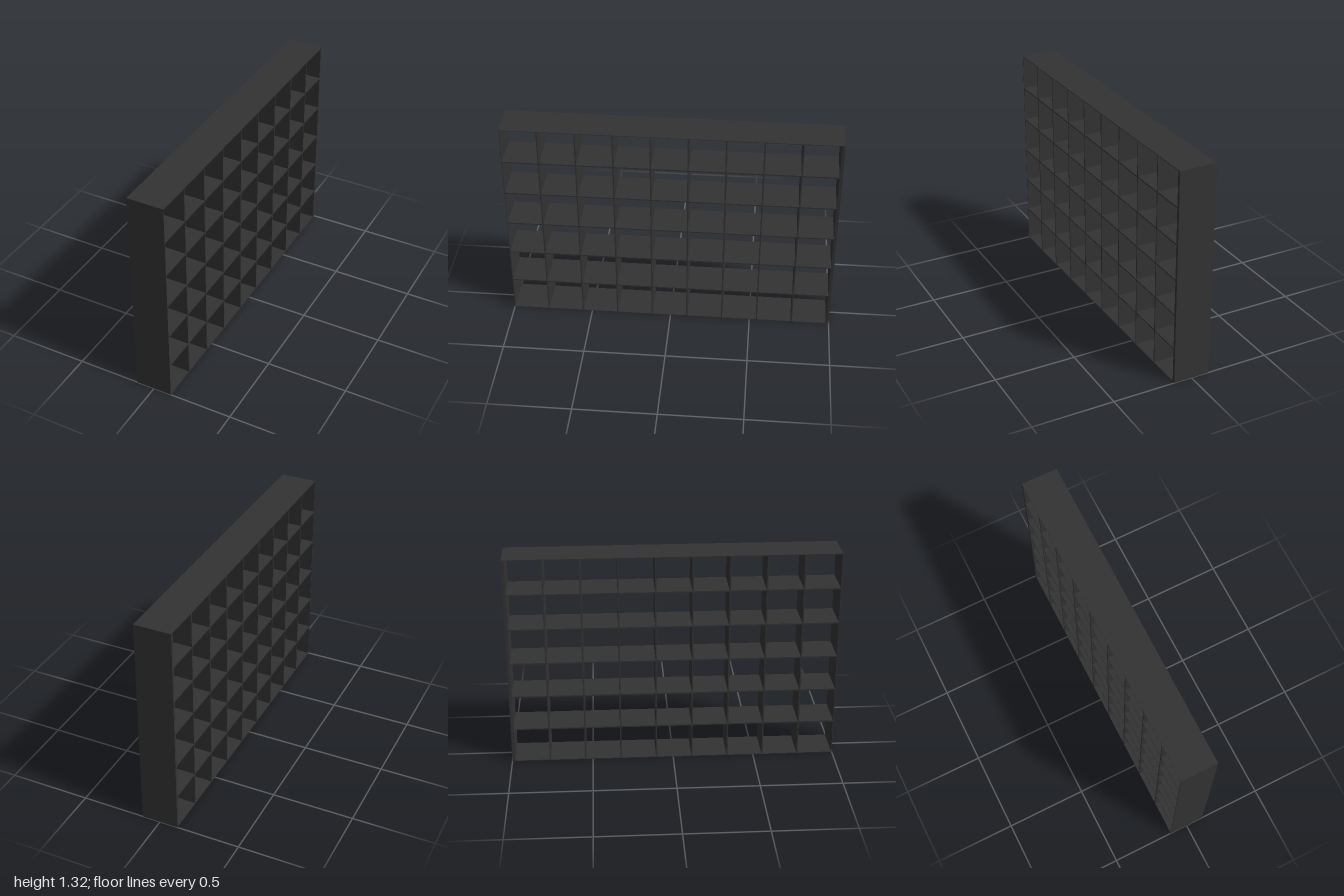
import * as THREE from 'three';

const COLS = 9, ROWS = 6, PITCH = 0.2207, WALL = 0.004, DEPTH = 0.226;
const HEIGHT = ROWS * PITCH;

// Rectangle corners, used for the outline and the cell openings
const corners = (x0, y0, x1, y1) => [[x0, y0], [x1, y0], [x1, y1], [x0, y1]]
  .map(([x, y]) => new THREE.Vector2(x, y));

export function createModel() {
  const group = new THREE.Group();
  group.name = 'pigeonholeRack';
  const material = new THREE.MeshStandardMaterial({ color: 0x333333 });

  // Open grid of square cells; the outline includes the thicker end at -z
  const outline = new THREE.Shape(corners(-1, 0, 1, HEIGHT));
  for (let c = 0; c < COLS; c++) {
    for (let r = 0; r < ROWS; r++) {
      const x = -1 + c * PITCH, y = r * PITCH;
      outline.holes.push(new THREE.Path(
        corners(x + WALL, y + WALL, x + PITCH - WALL, y + PITCH - WALL).reverse()));
    }
  }
  const geometry = new THREE.ExtrudeGeometry(outline, { depth: DEPTH, bevelEnabled: false });
  geometry.translate(0, 0, -DEPTH / 2).rotateY(Math.PI / 2);

  const grid = new THREE.Mesh(geometry, material);
  grid.name = 'cellGrid';
  group.add(grid);
  return group;
}
